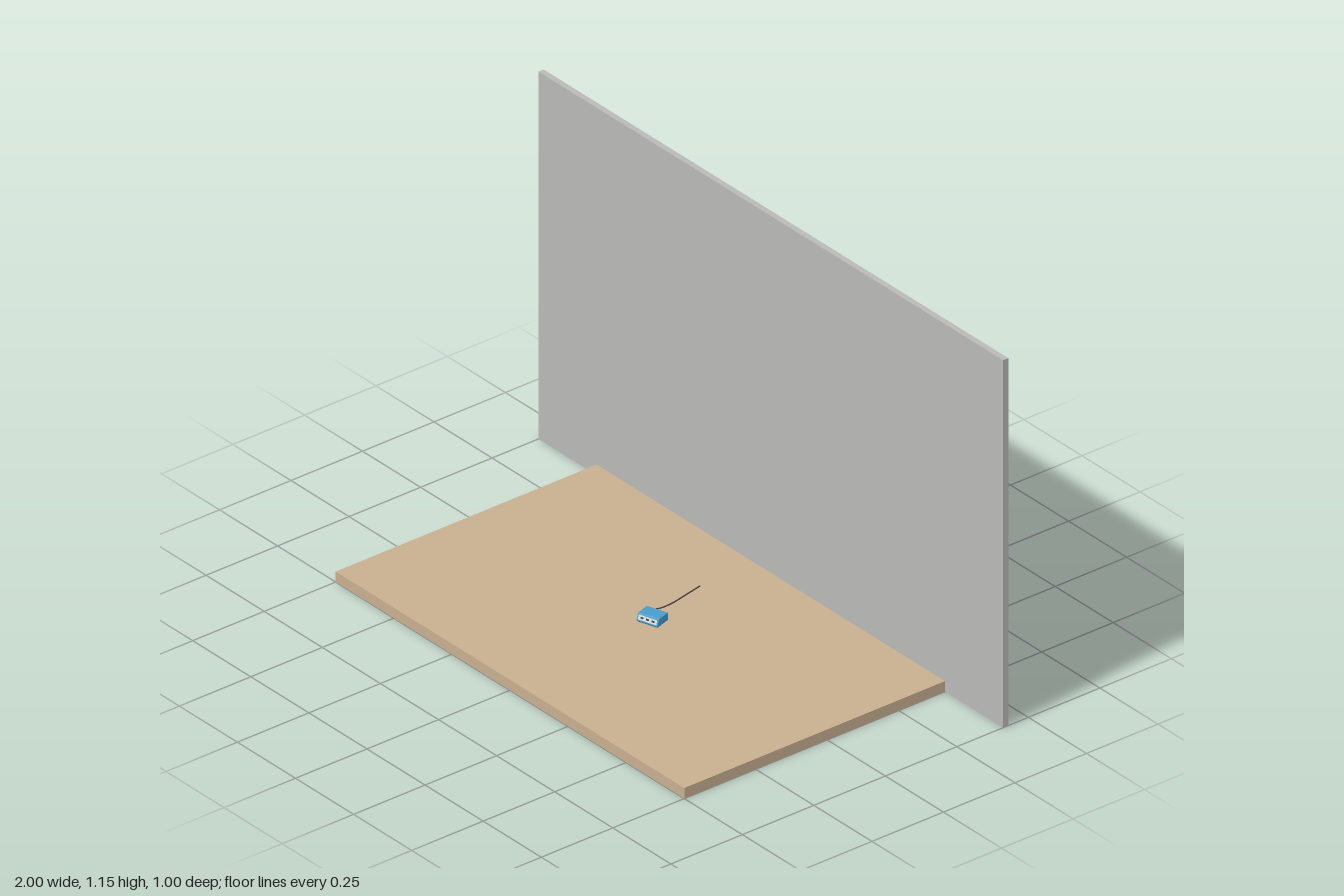
import * as THREE from 'three';

const mat = (name, color, side = THREE.FrontSide) => {
  const m = new THREE.MeshStandardMaterial({ color, side });
  m.name = name;
  return m;
};

export function createModel() {
  const wood = mat('wood', 0xc8b090);
  const plaster = mat('wallGrey', 0xb9b9b7);
  const blue = mat('blueCasing', 0x4a9cc8);
  const pale = mat('palePanel', 0xd4d8da);
  const dark = mat('darkTrim', 0x2b3a44);
  const cord = mat('cord', 0x4f463e);

  const model = new THREE.Group();
  model.name = 'deskScene';
  const add = (parent, name, geometry, material, x = 0, y = 0, z = 0) => {
    const mesh = new THREE.Mesh(geometry, material);
    mesh.name = name;
    mesh.position.set(x, y, z);
    parent.add(mesh);
    return mesh;
  };
  const box = (parent, name, w, h, d, material, x, y, z) =>
    add(parent, name, new THREE.BoxGeometry(w, h, d), material, x, y, z);

  // Table slab and the upright wall crossing it near the back
  box(model, 'tableTop', 1.5, 0.033, 1, wood, 0, 0.0165, 0);
  box(model, 'wall', 2, 1.155, 0.018, plaster, 0, 0.5775, -0.421);

  // Small device, turned slightly on the table
  const device = new THREE.Group();
  device.name = 'device';
  device.position.set(-0.002, 0.033, 0);
  device.rotation.y = 0.3;
  model.add(device);

  // Casing: side profile (z, y) with a sloping front, extruded across the width
  const width = 0.068;
  const profile = new THREE.Shape([
    [-0.026, 0.002], [0.026, 0.002], [0.027, 0.006], [0.02, 0.023],
    [0.016, 0.025], [-0.024, 0.025], [-0.026, 0.022],
  ].map(([z, y]) => new THREE.Vector2(z, y)));
  const casing = new THREE.ExtrudeGeometry(profile, { depth: width, bevelEnabled: false });
  casing.rotateY(-Math.PI / 2);
  casing.translate(width / 2, 0, 0);
  add(device, 'casing', casing, blue);
  box(device, 'base', 0.064, 0.003, 0.048, dark, 0, 0.0015, 0);

  // Sloping front panel with small dark windows
  const face = new THREE.Group();
  face.name = 'frontFace';
  face.position.set(0, 0.0145, 0.0236);
  face.rotation.x = -Math.atan2(0.007, 0.017);
  device.add(face);
  box(face, 'frontPanel', 0.06, 0.014, 0.001, pale, 0, 0, 0.0003);
  for (const x of [-0.018, 0, 0.018])
    box(face, 'window', 0.009, 0.005, 0.0006, dark, x, 0, 0.0008);

  // Cord dropping from the back and trailing over the table
  const path = new THREE.CatmullRomCurve3([
    [-0.028, 0.046, -0.016], [-0.034, 0.042, -0.035], [-0.036, 0.037, -0.06],
    [-0.04, 0.035, -0.1], [-0.052, 0.035, -0.16], [-0.064, 0.035, -0.216],
  ].map((p) => new THREE.Vector3(...p)));
  add(model, 'cord', new THREE.TubeGeometry(path, 32, 0.002, 8), cord);
  const end = new THREE.CircleGeometry(0.002, 8);
  end.rotateY(Math.PI);
  add(model, 'cordEnd', end, cord, -0.064, 0.035, -0.216);

  return model;
}
